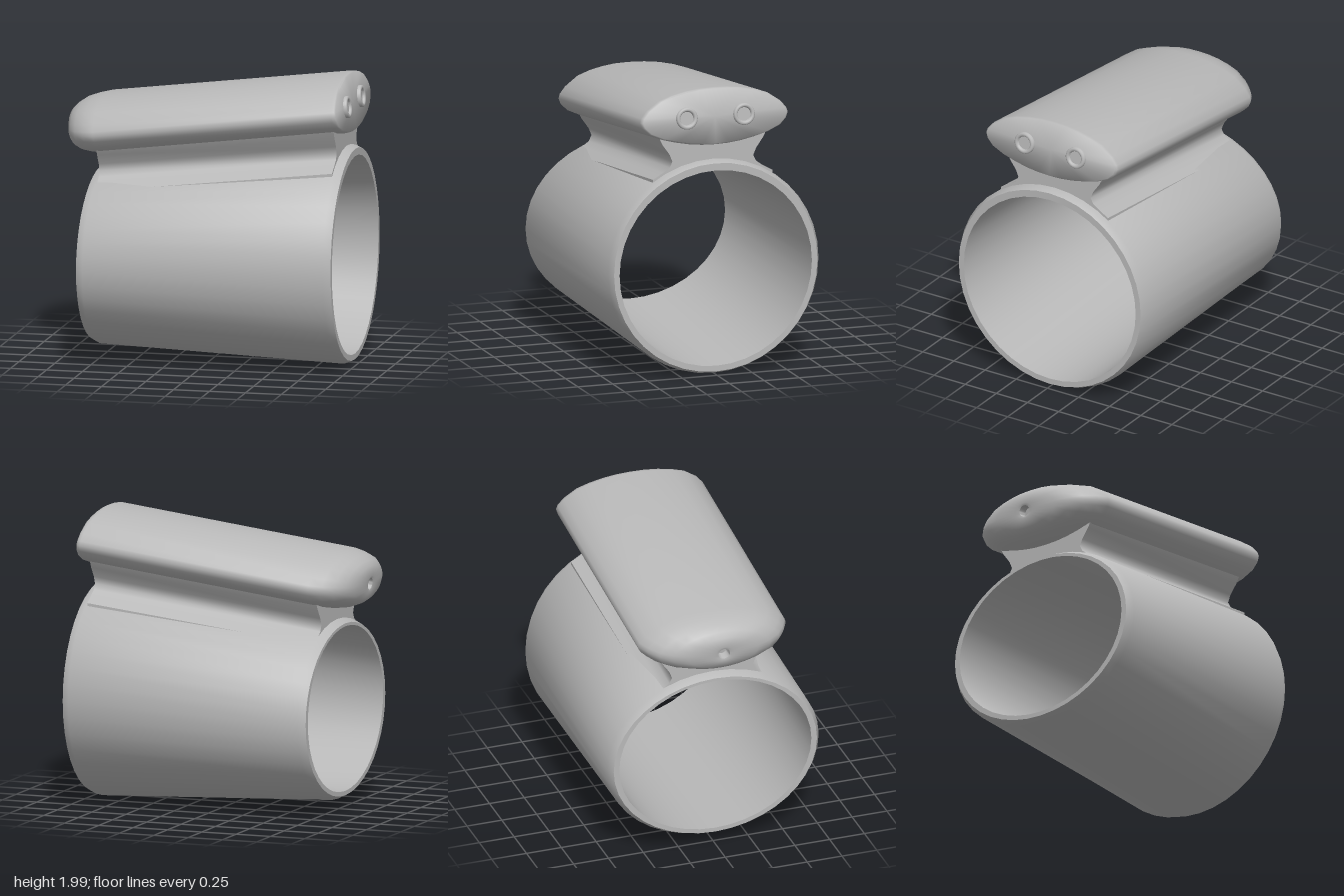
import * as THREE from 'three';
import { toCreasedNormals } from 'three/addons/utils/BufferGeometryUtils.js';

// Skin a row of closed rings; each ring runs from +y towards +z.
function loft(rings, crease = 1) {
  const n = rings[0].length, pos = [], idx = [];
  rings.forEach((r) => r.forEach((p) => pos.push(...p)));
  for (let i = 0; i < rings.length - 1; i++) {
    for (let j = 0; j < n; j++) {
      const a = i * n + j, b = i * n + (j + 1) % n;
      idx.push(a, b, b + n, a, b + n, a + n);
    }
  }
  const g = new THREE.BufferGeometry();
  g.setAttribute('position', new THREE.Float32BufferAttribute(pos, 3));
  g.setIndex(idx);
  return toCreasedNormals(g, crease);
}

// Elliptical ring at x, between two heights, with a half width in z
function ellipse(x, low, high, rz, n = 40) {
  return Array.from({ length: n }, (_, j) => {
    const a = (j / n) * Math.PI * 2;
    return [x, (low + high) / 2 + Math.cos(a) * (high - low) / 2, Math.sin(a) * rz];
  });
}

// Half outline (z, y) completed by its mirror image
function mirrorOutline(half) {
  return [...half, ...half.slice(1, -1).reverse().map(([z, y]) => [-z, y])];
}

export function createModel() {
  const model = new THREE.Group();
  const grey = new THREE.MeshStandardMaterial({ color: 0xb9b9b9 });
  grey.name = 'matte grey';
  const add = (parent, geometry, name) => {
    const mesh = new THREE.Mesh(geometry, grey);
    mesh.name = name;
    parent.add(mesh);
    return mesh;
  };

  // Tapered hollow sleeve with softened rims
  const sleeve = [
    [-0.8, 0.135, 1.265, 0.69],
    [-0.8, 0.105, 1.285, 0.73],
    [-0.75, 0.08, 1.31, 0.76],
    [0.92, 0.01, 1.5, 0.755],
    [0.97, 0.03, 1.48, 0.73],
    [0.97, 0.07, 1.43, 0.69],
    [-0.8, 0.135, 1.265, 0.69],
  ].map((s) => ellipse(...s));
  add(model, loft(sleeve), 'sleeve');

  // Waisted saddle between sleeve and pod, flared at the foot
  const saddleOutline = mirrorOutline([
    [0, 0.07], [0.4, 0.07], [0.36, -0.01], [0.31, -0.08], [0.29, -0.13],
    [0.31, -0.17], [0.36, -0.205], [0.43, -0.245], [0.43, -0.265],
    [0.3, -0.205], [0.15, -0.165], [0, -0.15],
  ]);
  const saddleRing = (x, top, flat) =>
    saddleOutline.map(([z, y]) => (flat ? [x, top - 0.06, 0] : [x, top + y, z]));
  add(model, loft([
    saddleRing(-0.74, 1.44, true),
    saddleRing(-0.74, 1.44),
    saddleRing(0.91, 1.63),
    saddleRing(0.91, 1.63, true),
  ]), 'saddle');

  // Tilted pod: its local origin is the middle of the flat end
  const pod = new THREE.Group();
  pod.name = 'pod';
  pod.position.set(0.955, 1.805, 0);
  pod.rotation.z = 0.1225;
  model.add(pod);

  // Lens-shaped section
  const lens = mirrorOutline([
    [0, 0.197], [0.1, 0.194], [0.2, 0.182], [0.3, 0.16], [0.39, 0.13], [0.48, 0.068], [0.52, 0.02],
    [0.53, -0.01], [0.515, -0.05], [0.47, -0.095], [0.38, -0.135], [0.28, -0.162],
    [0.18, -0.182], [0.09, -0.192], [0, -0.195],
  ]);
  // x, height scale, width scale; the first rows sink a small socket in the domed end
  const podStations = [
    [-1.89, 0, 0],
    [-1.89, 0.18, 0.07],
    [-1.95, 0.2, 0.08],
    [-1.955, 0.28, 0.14],
    [-1.935, 0.6, 0.47],
    [-1.9, 0.75, 0.66],
    [-1.85, 0.88, 0.81],
    [-1.78, 0.96, 0.92],
    [-1.7, 1, 1],
    [-0.03, 1, 1],
    [-0.01, 0.985, 0.99],
    [0, 0.95, 0.97],
    [0, 0, 0],
  ];
  add(pod, loft(podStations.map(([x, sy, sz]) => lens.map(([z, y]) => [x, y * sy, z * sz]))), 'podBody');

  // Two raised round ports on the flat end
  const portProfile = [
    [0, 0.008], [0.046, 0.008], [0.05, 0.02], [0.056, 0.025],
    [0.068, 0.025], [0.075, 0.018], [0.075, -0.01],
  ].map(([r, h]) => new THREE.Vector2(r, h)).reverse();
  const portGeometry = toCreasedNormals(new THREE.LatheGeometry(portProfile, 28), 0.9);
  for (const side of [1, -1]) {
    const port = add(pod, portGeometry, side > 0 ? 'frontPort' : 'backPort');
    port.rotation.z = -Math.PI / 2;
    port.position.set(0, 0, side * 0.205);
  }

  return model;
}
